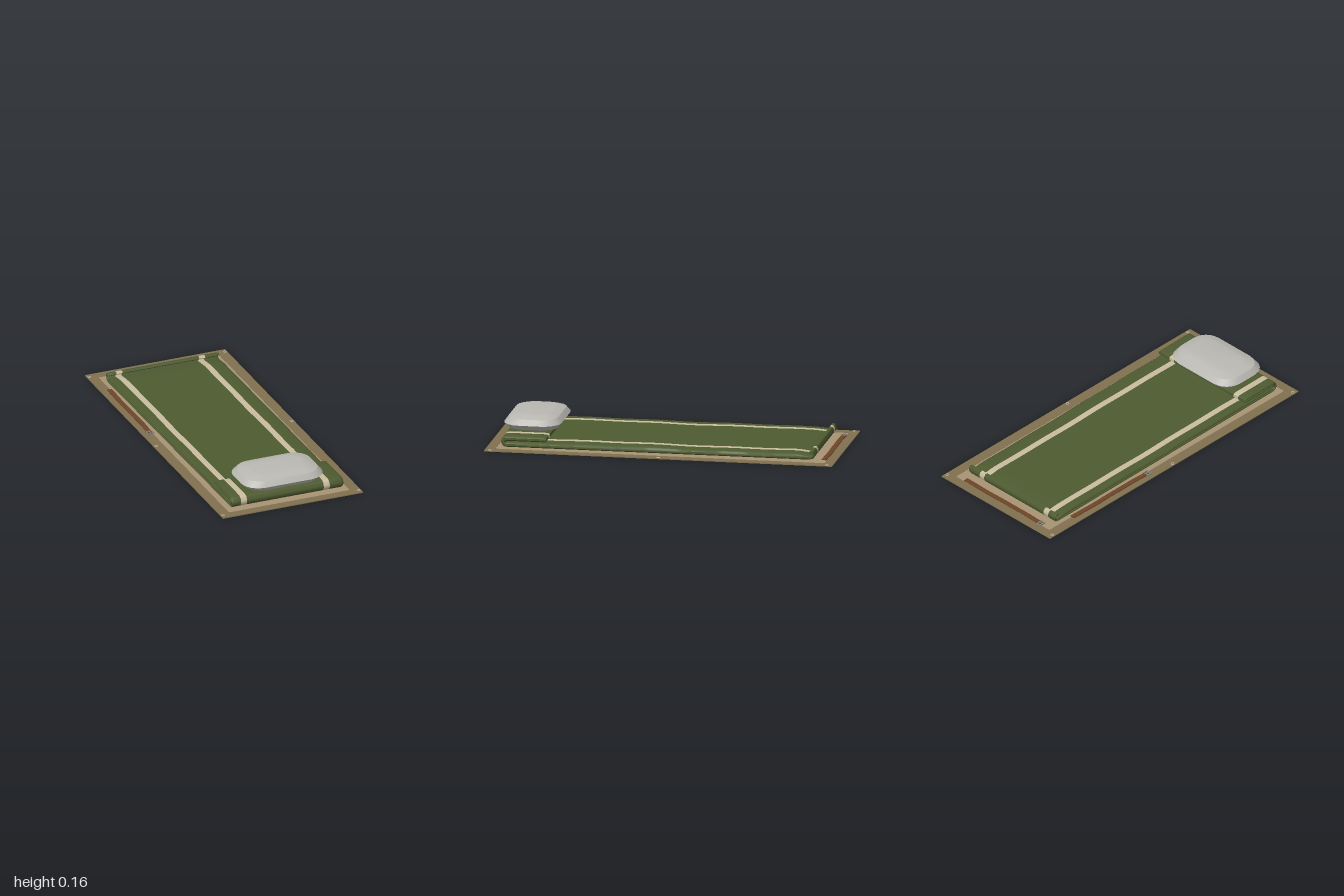
import * as THREE from 'three';
import { toCreasedNormals } from 'three/addons/utils/BufferGeometryUtils.js';

const mat = (name, color) => {
  const m = new THREE.MeshStandardMaterial({ color });
  m.name = name;
  return m;
};

// Rounded rectangle outline as a list of [x, z], counter-clockwise seen from +y
function roundedLoop(hx, hz, r, steps) {
  const pts = [];
  for (let q = 0; q < 4; q++) {
    const sx = q === 0 || q === 3 ? 1 : -1, sz = q < 2 ? -1 : 1;
    for (let i = 0; i <= steps; i++) {
      const a = (q + i / steps) * Math.PI / 2;
      pts.push([sx * (hx - r) + r * Math.cos(a), sz * (hz - r) - r * Math.sin(a)]);
    }
  }
  return pts;
}

// Pillow skinned from stacked rounded rectangles [y, half x, half z, radius]
function pillowGeometry(rings) {
  const pos = [], idx = [];
  const n = roundedLoop(1, 1, 0.5, 4).length;
  rings.forEach(([y, hx, hz, r]) => roundedLoop(hx, hz, r, 4).forEach(([x, z]) => pos.push(x, y, z)));
  for (let k = 0; k < rings.length - 1; k++) {
    for (let i = 0; i < n; i++) {
      const j = (i + 1) % n, a = k * n + i, b = k * n + j;
      idx.push(a, b, b + n, a, b + n, a + n);
    }
  }
  const top = (rings.length - 1) * n;
  for (let i = 1; i < n - 1; i++) {
    idx.push(0, i + 1, i);
    idx.push(top, top + i, top + i + 1);
  }
  const g = new THREE.BufferGeometry();
  g.setAttribute('position', new THREE.Float32BufferAttribute(pos, 3));
  g.setIndex(idx);
  return toCreasedNormals(g, 0.35);
}

// Centre line of the bedding as [z, y, half thickness]: back hook, flat bed, front fold
function beddingPath() {
  const p = [
    [-0.854, 0.05, 0.006], [-0.86, 0.058, 0.0065], [-0.869, 0.056, 0.0065],
    [-0.875, 0.046, 0.0065], [-0.874, 0.033, 0.007], [-0.866, 0.022, 0.009], [-0.845, 0.022, 0.012],
  ];
  for (let i = 0; i <= 44; i++) {
    const z = -0.81 + i * 1.68 / 44;
    p.push([z, 0.0235, 0.0145]);
  }
  for (let i = 0; i <= 10; i++) {
    const a = -Math.PI / 2 + i * Math.PI / 10;
    p.push([0.888 + 0.0175 * Math.cos(a), 0.041 + 0.0175 * Math.sin(a), 0.0145]);
  }
  p.push([0.82, 0.0585, 0.0145], [0.74, 0.0585, 0.0145], [0.672, 0.0585, 0.0145], [0.66, 0.0585, 0.009]);
  return p;
}

// Stations across the width: [x, edge scale]; bands alternate cloth and stripe
const STATIONS = [
  [-0.343, 0.35], [-0.340, 0.75], [-0.333, 1], [-0.290, 1], [-0.253, 1],
  [0.217, 1], [0.254, 1], [0.326, 1], [0.336, 0.8], [0.341, 0.4],
];
const STRIPE_BANDS = [3, 5];

// One layer of cloth between two offsets (in half thicknesses) from the centre line
function layerGeometry(lo, hi) {
  const path = beddingPath(), n = path.length, pos = [], idx = [];
  STATIONS.forEach(([x, s]) => {
    const c = x < 0 ? (lo + hi) / 2 : 0;
    const ring = (o) => path.map(([z, y, t], k) => {
      const a = path[Math.max(k - 1, 0)], b = path[Math.min(k + 1, n - 1)];
      const dz = b[0] - a[0], dy = b[1] - a[1], len = Math.hypot(dz, dy);
      const d = t * (c + (o - c) * s);
      // Soft wrinkles on the open part of the bed
      const bed = Math.abs(z) < 0.78 && y < 0.03 && o > 0.5;
      const wave = bed ? 0.002 + 0.0025 * Math.sin(z * 11 + x * 2.5) * Math.cos(z * 4 + 0.3) : 0;
      const pz = z - dy / len * d;
      return [x + 0.0075 * pz - 0.0017, y + dz / len * d + wave * s, pz];
    });
    pos.push(...ring(hi).flat(), ...ring(lo).reverse().flat());
  });
  const m = 2 * n, last = STATIONS.length - 1, g = new THREE.BufferGeometry();
  for (let s = 0; s < last; s++) {
    const start = idx.length;
    for (let k = 0; k < m; k++) {
      const a = s * m + k, b = s * m + (k + 1) % m;
      idx.push(a, b, b + m, a, b + m, a + m);
    }
    g.addGroup(start, idx.length - start, STRIPE_BANDS.includes(s) ? 1 : 0);
  }
  // Side caps
  const capStart = idx.length;
  for (let k = 0; k < n - 1; k++) {
    const u = k, v = k + 1, l = m - 1 - k, w = m - 2 - k, e = last * m;
    idx.push(l, w, v, l, v, u);
    idx.push(e + l, e + v, e + w, e + l, e + u, e + v);
  }
  g.addGroup(capStart, idx.length - capStart, 0);
  g.setAttribute('position', new THREE.Float32BufferAttribute(pos, 3));
  g.setIndex(idx);
  return toCreasedNormals(g, 0.7);
}

function rectShape(hx, hz, Type = THREE.Shape) {
  return new Type([[-hx, -hz], [hx, -hz], [hx, hz], [-hx, hz]].map(([x, y]) => new THREE.Vector2(x, y)));
}

// Flat frame lying on the ground
function frameGeometry(hx, hz, ix, iz, depth) {
  const shape = rectShape(hx, hz);
  shape.holes.push(rectShape(ix, iz, THREE.Path));
  return new THREE.ExtrudeGeometry(shape, { depth, bevelEnabled: false }).rotateX(-Math.PI / 2);
}

export function createModel() {
  const model = new THREE.Group();
  model.name = 'bedroll';
  const canvas = mat('canvas tan', 0xa89474);
  const border = mat('border brown', 0x807050);
  const cloth = mat('blanket green', 0x4e5b30);
  const stripe = mat('stripe cream', 0xc9bd9f);
  const linen = mat('pillow grey', 0xbab8b2);
  const leather = mat('strap leather', 0x6e4528);
  const metal = mat('metal grey', 0x85827c);
  const eyelet = mat('eyelet light', 0xb9b4a6);

  const add = (parent, name, geometry, material, x = 0, y = 0, z = 0) => {
    const mesh = new THREE.Mesh(geometry, material);
    mesh.name = name;
    mesh.position.set(x, y, z);
    parent.add(mesh);
    return mesh;
  };

  // Ground sheet with hemmed border and eyelets
  add(model, 'groundSheet', new THREE.BoxGeometry(0.74, 0.004, 1.89), canvas, 0, 0.002, 0);
  add(model, 'sheetBorder', frameGeometry(0.43, 1, 0.37, 0.945, 0.005), border);
  for (const x of [-0.416, 0.416]) {
    for (const z of [-0.968, 0, 0.968]) {
      const ring = new THREE.TorusGeometry(0.0085, 0.0025, 6, 14).rotateX(Math.PI / 2);
      add(model, 'eyelet', ring, eyelet, x, 0.0055, z);
    }
  }

  // Folded blanket: two layers joined along the left side
  add(model, 'blanketUpperLayer', layerGeometry(0, 1), [cloth, stripe]);
  add(model, 'blanketLowerLayer', layerGeometry(-1, -0.06), [cloth, stripe]);

  // Pillow
  add(model, 'pillow', pillowGeometry([
    [0.073, 0.185, 0.11, 0.07], [0.082, 0.215, 0.138, 0.09], [0.112, 0.246, 0.164, 0.105],
    [0.143, 0.221, 0.142, 0.095], [0.156, 0.178, 0.105, 0.07], [0.16, 0.15, 0.085, 0.05],
  ]), linen, -0.002, 0, 0.773);

  // Loose straps, each with a buckle at its start
  const strap = (name, x, z, turn, bend) => {
    const group = new THREE.Group();
    group.name = name;
    const g = new THREE.BoxGeometry(0.6, 0.005, 0.028, 16, 1, 1).translate(0.3, 0, 0);
    const p = g.attributes.position;
    for (let i = 0; i < p.count; i++) {
      const t = p.getX(i) / 0.6;
      p.setY(i, p.getY(i) + 0.0015 * Math.sin(t * 9) ** 2);
      p.setZ(i, p.getZ(i) + bend * (t + 0.4 * Math.sin(t * 6)));
    }
    g.computeVertexNormals();
    add(group, 'strapBand', toCreasedNormals(g, 0.6), leather, 0, 0.0085, 0);
    add(group, 'buckleFrame', frameGeometry(0.016, 0.02, 0.01, 0.014, 0.006), metal, 0, 0.007, 0);
    add(group, 'bucklePin', new THREE.BoxGeometry(0.03, 0.003, 0.004), metal, 0.002, 0.0135, 0);
    group.position.set(x, 0, z);
    group.rotation.y = turn;
    model.add(group);
  };
  strap('backStrap', -0.295, -0.936, 0, 0.006);
  strap('sideStrap', -0.383, -0.168, Math.PI / 2, 0.006);

  return model;
}
